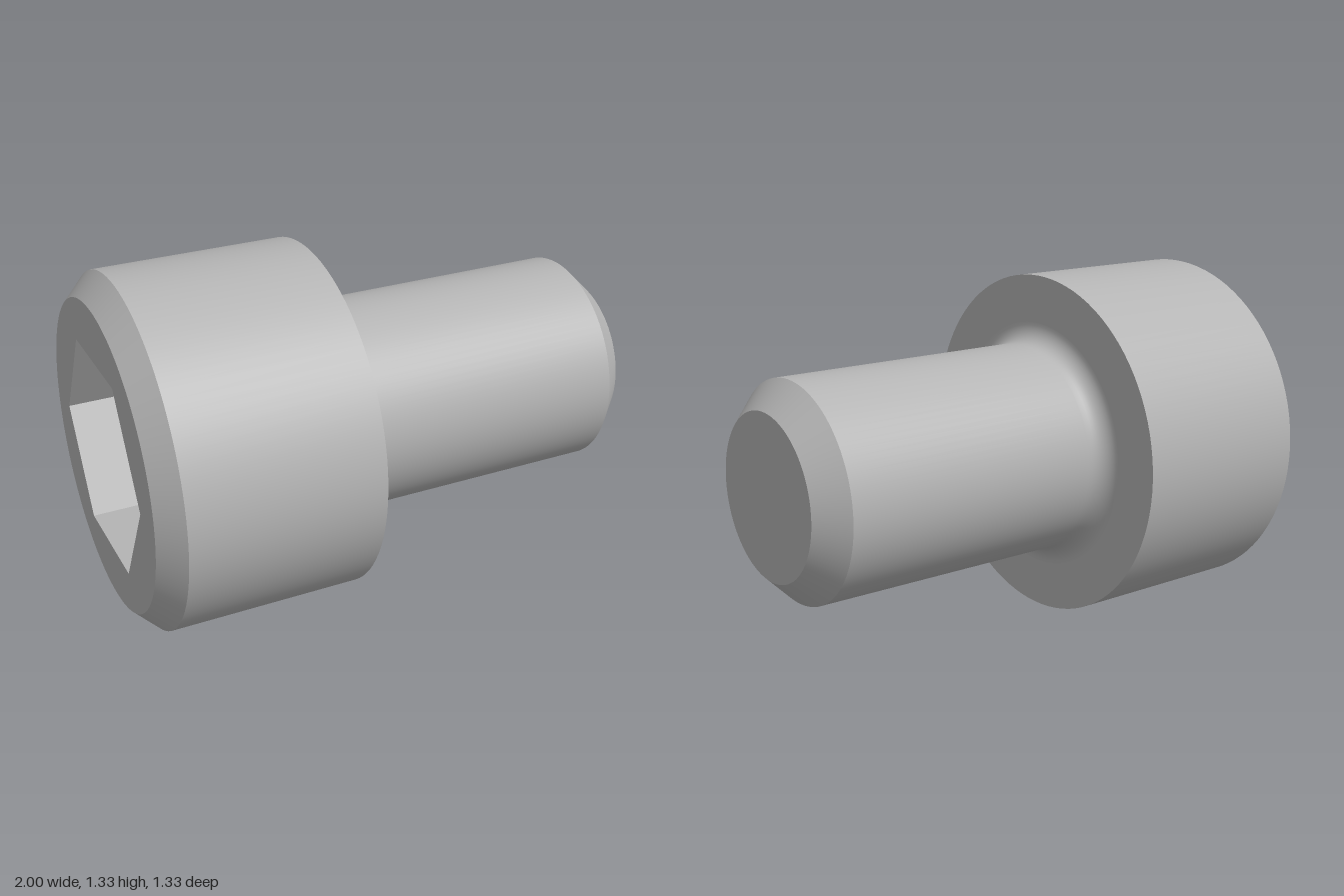
import * as THREE from 'three';

const SEG = 96;
const R = 0.6625;         // head radius
const FACE_R = 0.578;     // flat end of the head, inside the chamfer
const SHANK_R = 0.405;
const FILLET = 0.075;
const HEX_R = 0.43;       // socket corner radius
const DEPTH = 0.36;       // socket depth
const DRILL_R = 0.37;     // drilled recess below the socket

export function createModel() {
  const steel = new THREE.MeshStandardMaterial({ color: 0xb4b4b4 });
  steel.name = 'steel grey';

  // Built along local y, then laid down along x
  const screw = new THREE.Group();
  screw.name = 'capScrew';
  const add = (parent, name, geometry) => {
    const mesh = new THREE.Mesh(geometry, steel);
    mesh.name = name;
    parent.add(mesh);
  };
  const part = (name) => {
    const g = new THREE.Group();
    g.name = name;
    screw.add(g);
    return g;
  };
  // Each turned surface is its own lathe so the edges between them stay sharp
  const turned = (...pts) =>
    new THREE.LatheGeometry(pts.map(([r, y]) => new THREE.Vector2(r, y)), SEG);
  const hexPoints = Array.from({ length: 6 }, (_, i) => {
    const a = Math.PI / 2 + (i * Math.PI) / 3;
    return new THREE.Vector2(HEX_R * Math.cos(a), HEX_R * Math.sin(a));
  });
  // Flat plate facing the socket end
  const plate = (shape, y) =>
    new THREE.ShapeGeometry(shape, SEG).rotateX(Math.PI / 2).translate(0, y, 0);

  // Head with chamfered rim
  const head = part('head');
  const face = new THREE.Shape().absarc(0, 0, FACE_R, 0, Math.PI * 2);
  face.holes.push(new THREE.Path(hexPoints));
  add(head, 'headFace', plate(face, -1));
  add(head, 'headChamfer', turned([FACE_R, -1], [R, -0.915]));
  add(head, 'headSide', turned([R, -0.915], [R, -0.19]));
  add(head, 'headUnderside', turned([R, -0.19], [SHANK_R + FILLET, -0.19]));

  // Hexagonal socket: inward walls, floor corners and drill cone
  const socket = part('socket');
  const walls = new THREE.CylinderGeometry(HEX_R, HEX_R, DEPTH, 6, 1, true)
    .scale(-1, 1, 1).toNonIndexed();
  walls.computeVertexNormals();
  add(socket, 'socketWalls', walls.translate(0, -1 + DEPTH / 2, 0));
  const floor = new THREE.Shape(hexPoints);
  floor.holes.push(new THREE.Path().absarc(0, 0, DRILL_R, 0, Math.PI * 2));
  add(socket, 'socketFloor', plate(floor, -1 + DEPTH));
  add(socket, 'drillCone', turned([0, -1 + DEPTH + 0.21], [DRILL_R, -1 + DEPTH]));

  // Shank with a fillet under the head and a chamfered tip
  const shank = part('shank');
  const profile = [];
  for (let i = 0; i <= 10; i++) {
    const a = (i / 10) * (Math.PI / 2);
    profile.push([
      SHANK_R + FILLET * (1 - Math.sin(a)),
      -0.19 + FILLET * (1 - Math.cos(a)),
    ]);
  }
  add(shank, 'shankFillet', turned(...profile));
  add(shank, 'shankSide', turned([SHANK_R, -0.19 + FILLET], [SHANK_R, 0.9]));
  add(shank, 'tipChamfer', turned([SHANK_R, 0.9], [0.305, 1]));
  add(shank, 'tipFace', turned([0.305, 1], [0, 1]));

  screw.rotation.z = -Math.PI / 2;
  screw.position.y = R;
  const model = new THREE.Group();
  model.name = 'socketScrew';
  model.add(screw);
  return model;
}
